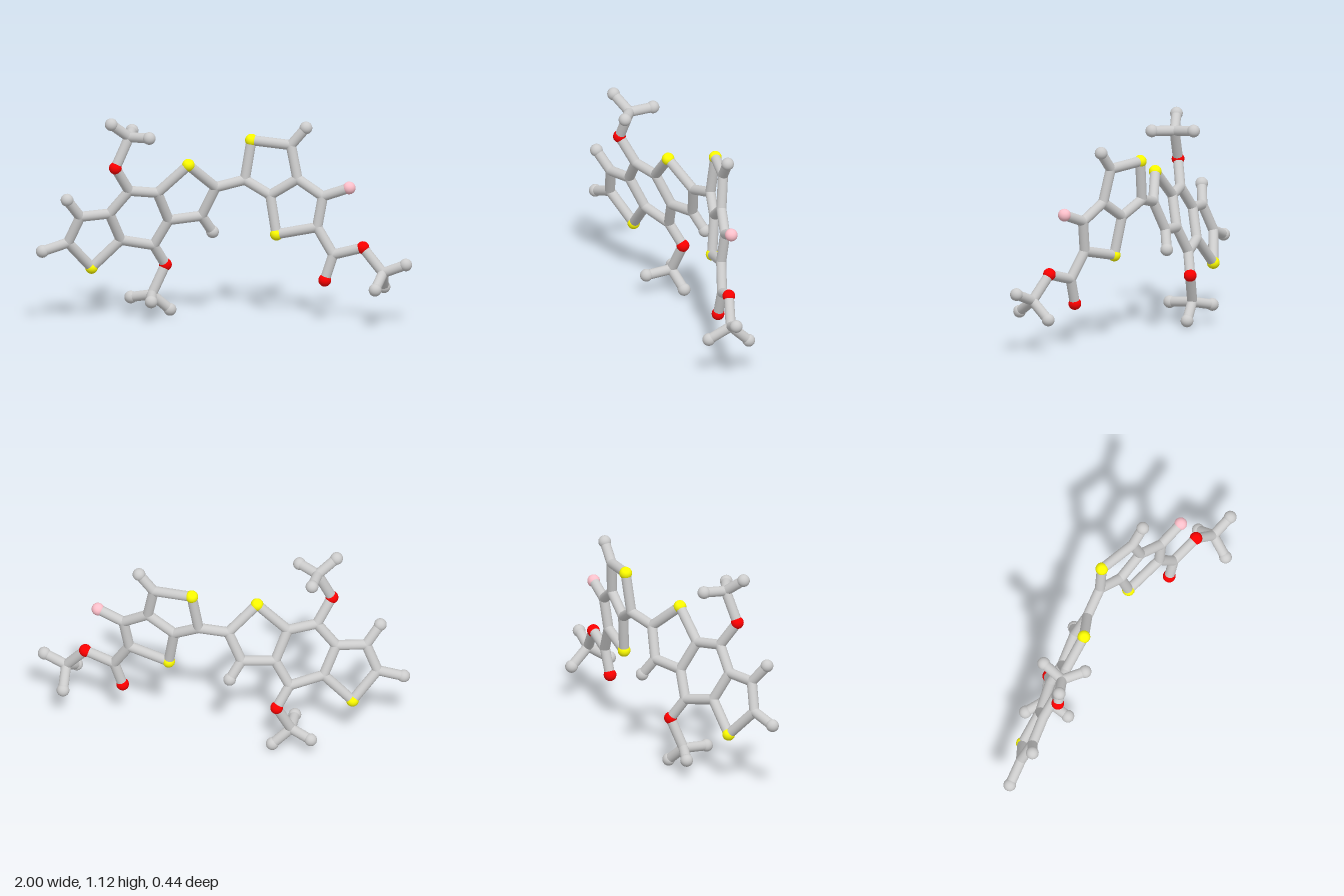
import * as THREE from 'three';

const BOND = 0.027;
const GREY = 0xcccccc, YELLOW = 0xffff00, RED = 0xff0000, PINK = 0xffc0cb;

// The two flat halves of the molecule each lie in a tilted plane.
const leftZ = (x, y) => -0.342 - 0.274 * x + 0.311 * y;
const rightZ = (x, y) => -0.091 + 0.232 * x - 0.097 * y;

// Atoms in a plane: [x, y]
const leftAtoms = {
  sulfurA: [-0.705, 0.285], outerA: [-0.83, 0.435], outerB: [-0.765, 0.58],
  fuseA: [-0.61, 0.59], fuseB: [-0.55, 0.435], coreTop: [-0.505, 0.715],
  fuseC: [-0.355, 0.695], fuseD: [-0.295, 0.535], coreBottom: [-0.375, 0.395],
  sulfurB: [-0.19, 0.845], linkLeft: [-0.045, 0.71], innerA: [-0.12, 0.55],
  oxygenTop: [-0.578, 0.85], oxygenBottom: [-0.312, 0.28],
  hydrogenA: [-0.967, 0.392], hydrogenB: [-0.835, 0.68], hydrogenC: [-0.062, 0.455],
};
const rightAtoms = {
  linkRight: [0.11, 0.745], sulfurC: [0.145, 0.957], ringTop: [0.355, 0.94],
  fuseE: [0.39, 0.762], fuseF: [0.245, 0.67], sulfurD: [0.278, 0.463],
  esterRing: [0.495, 0.51], fluorineRing: [0.525, 0.675], fluorine: [0.665, 0.726],
  hydrogenD: [0.435, 1.035], esterCarbon: [0.58, 0.368], oxygenDouble: [0.535, 0.23],
  oxygenEster: [0.738, 0.412], methylRight: [0.845, 0.282], hydrogenR1: [0.966, 0.33],
};
// Atoms out of the planes: [x, y, z]
const freeAtoms = {
  methylTop: [-0.505, 1.013, 0.055], hydrogenT1: [-0.6, 1.09, 0.105],
  hydrogenT2: [-0.398, 1.02, 0.13], hydrogenT3: [-0.49, 1.025, -0.075],
  methylBottom: [-0.385, 0.125, -0.135], hydrogenL1: [-0.497, 0.1, -0.19],
  hydrogenL2: [-0.288, 0.038, -0.165], hydrogenL3: [-0.388, 0.112, 0.01],
  hydrogenR2: [0.803, 0.21, 0.187], hydrogenR3: [0.85, 0.188, -0.025],
};

// Each chain joins its atoms one after another.
const chains = [
  'sulfurA outerA outerB fuseA fuseB sulfurA',
  'fuseA coreTop fuseC fuseD coreBottom fuseB',
  'fuseC sulfurB linkLeft innerA fuseD',
  'hydrogenA outerA', 'hydrogenB outerB', 'hydrogenC innerA',
  'coreTop oxygenTop methylTop hydrogenT1', 'hydrogenT2 methylTop hydrogenT3',
  'coreBottom oxygenBottom methylBottom hydrogenL1', 'hydrogenL2 methylBottom hydrogenL3',
  'linkLeft linkRight sulfurC ringTop fuseE fuseF linkRight',
  'fuseF sulfurD esterRing fluorineRing fuseE',
  'fluorineRing fluorine', 'ringTop hydrogenD',
  'esterRing esterCarbon oxygenEster methylRight hydrogenR1',
  'esterCarbon oxygenDouble', 'hydrogenR2 methylRight hydrogenR3',
];

// Colour and ball radius by kind of atom; carbons only round off the joints.
function style(name) {
  if (name.startsWith('sulfur')) return [YELLOW, 0.034];
  if (name.startsWith('oxygen')) return [RED, 0.034];
  if (name.startsWith('fluorine') && !name.endsWith('Ring')) return [PINK, 0.034];
  if (name.startsWith('hydrogen')) return [GREY, 0.034];
  return [GREY, BOND];
}

export function createModel() {
  const model = new THREE.Group();
  const atoms = new THREE.Group();
  const bonds = new THREE.Group();
  model.name = 'molecule';
  atoms.name = 'atoms';
  bonds.name = 'bonds';
  model.add(atoms, bonds);

  const points = {};
  for (const [n, [x, y]] of Object.entries(leftAtoms)) points[n] = new THREE.Vector3(x, y, leftZ(x, y));
  for (const [n, [x, y]] of Object.entries(rightAtoms)) points[n] = new THREE.Vector3(x, y, rightZ(x, y));
  for (const [n, p] of Object.entries(freeAtoms)) points[n] = new THREE.Vector3(...p);

  const materials = {};
  for (const color of [GREY, YELLOW, RED, PINK]) materials[color] = new THREE.MeshStandardMaterial({ color });

  // Balls
  const ball = new THREE.SphereGeometry(1, 28, 18);
  for (const [name, point] of Object.entries(points)) {
    const [color, radius] = style(name);
    const mesh = new THREE.Mesh(ball, materials[color]);
    mesh.name = name;
    mesh.position.copy(point);
    mesh.scale.setScalar(radius);
    atoms.add(mesh);
  }

  // Sticks
  const stick = new THREE.CylinderGeometry(BOND, BOND, 1, 24, 1, true);
  const up = new THREE.Vector3(0, 1, 0);
  for (const chain of chains) {
    const names = chain.split(' ');
    for (let i = 1; i < names.length; i++) {
      const a = points[names[i - 1]], b = points[names[i]];
      const along = b.clone().sub(a);
      const mesh = new THREE.Mesh(stick, materials[GREY]);
      mesh.name = 'bond';
      mesh.position.copy(a).lerp(b, 0.5);
      mesh.scale.y = along.length();
      mesh.quaternion.setFromUnitVectors(up, along.normalize());
      bonds.add(mesh);
    }
  }
  return model;
}
